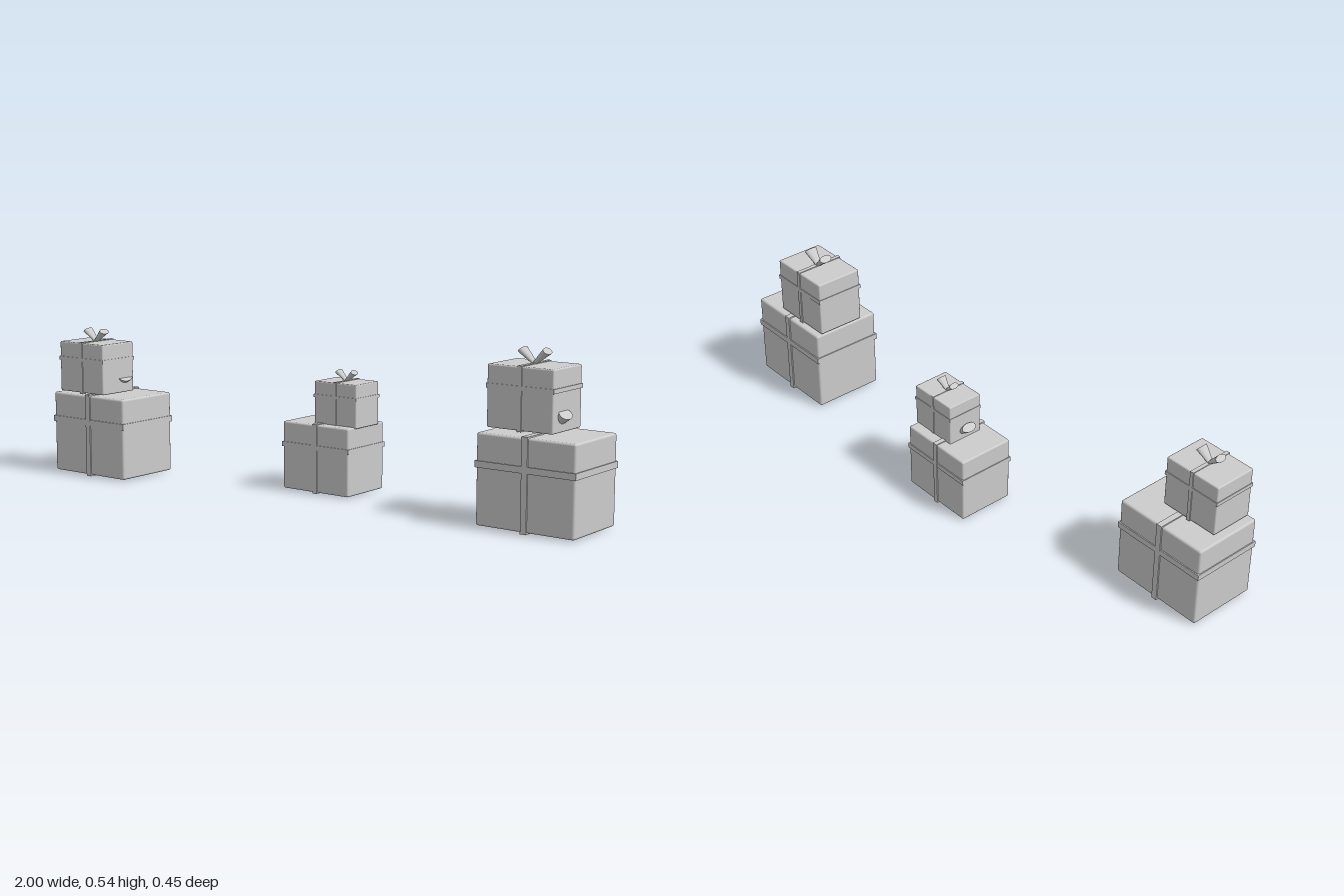
import * as THREE from 'three';
import { RoundedBoxGeometry } from 'three/addons/geometries/RoundedBoxGeometry.js';

const H = 0.85, D = 0.74; // gift height and depth for a width of 1

export function createModel() {
  const paper = new THREE.MeshStandardMaterial({ color: 0xcccccc });
  paper.name = 'light grey';

  const boxGeo = new RoundedBoxGeometry(0.98, H - 0.024, D - 0.024, 2, 0.022);
  const loopGeo = new THREE.BoxGeometry(0.06, H, D);
  const bandGeo = new THREE.BoxGeometry(1, 0.06, D - 0.002);

  // Flared, flattened bow wing growing from its narrow end
  const wingGeo = new THREE.CylinderGeometry(0.1, 0.045, 0.25, 16);
  wingGeo.translate(0, 0.125, 0);
  wingGeo.scale(0.55, 1, 1);

  function add(parent, geo, name, y) {
    const mesh = new THREE.Mesh(geo, paper);
    mesh.name = name;
    mesh.position.y = y;
    parent.add(mesh);
    return mesh;
  }

  // One gift: box, ribbon over the top, ribbon around the sides, bow
  function gift(name, x, y, z, size) {
    const g = new THREE.Group();
    g.name = name;
    add(g, boxGeo, 'box', H / 2);
    add(g, loopGeo, 'verticalRibbon', H / 2);
    add(g, bandGeo, 'horizontalRibbon', 0.56);
    const bow = new THREE.Group();
    bow.name = 'bow';
    bow.position.y = H - 0.005;
    for (const side of [-1, 1]) {
      add(bow, wingGeo, side > 0 ? 'leftBowWing' : 'rightBowWing', 0).rotation.z = -side * 0.83;
    }
    g.add(bow);
    g.position.set(x, y, z);
    g.scale.setScalar(size);
    return g;
  }

  // Three stacks of two gifts
  const model = new THREE.Group();
  model.name = 'giftStacks';
  model.add(
    gift('rightLowerGift', -0.832, 0, 0.097, 0.336),
    gift('rightUpperGift', -0.87, 0.285, 0.133, 0.21),
    gift('middleLowerGift', -0.027, 0, -0.124, 0.275),
    gift('middleUpperGift', 0.028, 0.224, -0.124, 0.175),
    gift('leftLowerGift', 0.826, 0, -0.063, 0.348),
    gift('leftUpperGift', 0.766, 0.295, -0.086, 0.236),
  );
  return model;
}
